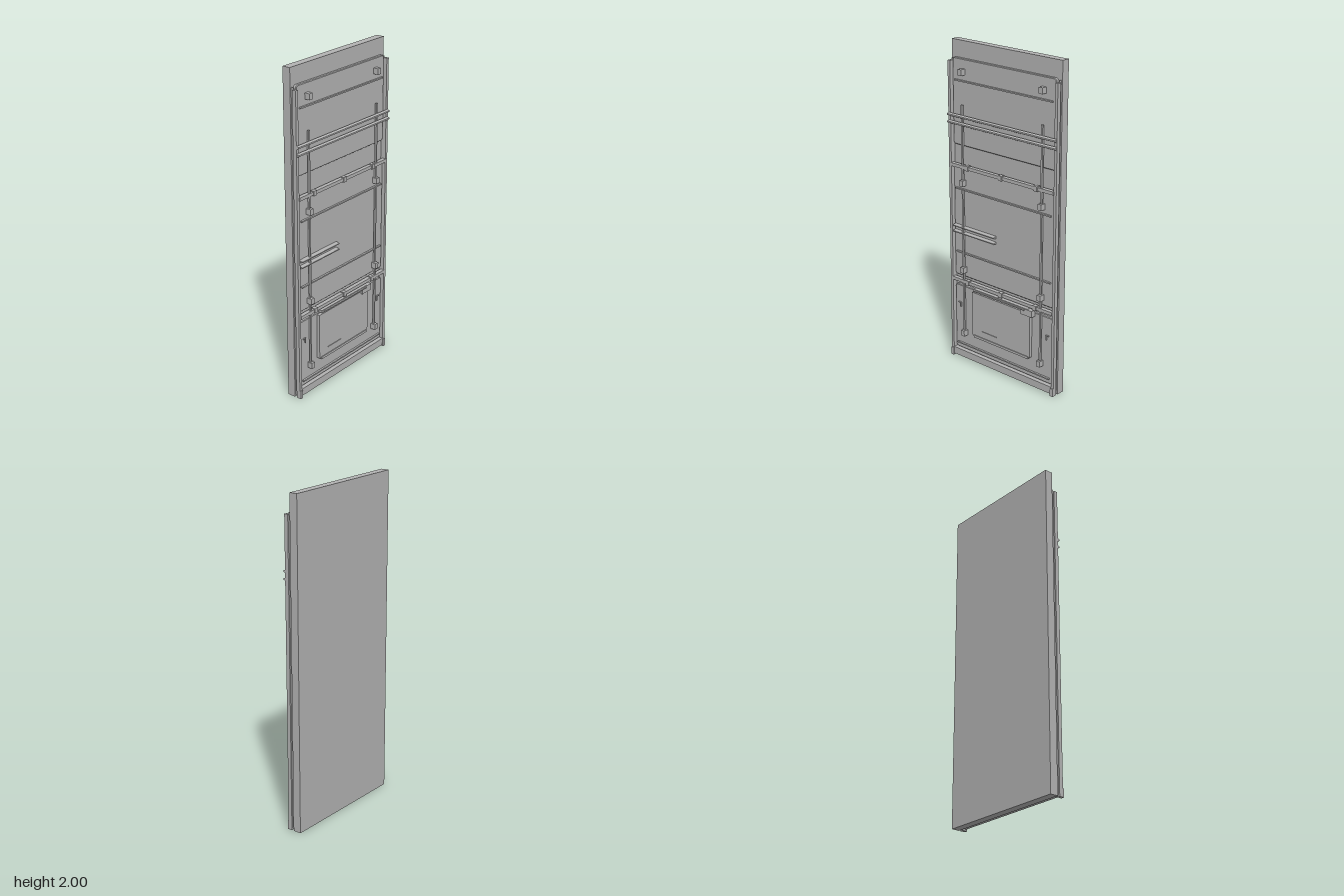
import * as THREE from 'three';

export function createModel() {
  const model = new THREE.Group();
  model.name = 'doorPanel';
  const grey = new THREE.MeshStandardMaterial({ color: 0xb2b2b2 });
  grey.name = 'plain grey';

  const add = (name, geometry) => {
    const mesh = new THREE.Mesh(geometry, grey);
    mesh.name = name;
    model.add(mesh);
    return mesh;
  };
  // Box given by its limits on each axis
  const box = (name, x0, x1, y0, y1, z0, z1) =>
    add(name, new THREE.BoxGeometry(x1 - x0, y1 - y0, z1 - z0))
      .position.set((x0 + x1) / 2, (y0 + y1) / 2, (z0 + z1) / 2);

  // Rounded plate with a small chamfer round its front edge
  const plate = (name, w, y0, y1, z0, z1, r = 0.015) => {
    const b = 0.004, x = w - b, lo = y0 + b, hi = y1 - b;
    const s = new THREE.Shape();
    s.moveTo(-x + r, lo);
    s.lineTo(x - r, lo);
    s.quadraticCurveTo(x, lo, x, lo + r);
    s.lineTo(x, hi - r);
    s.quadraticCurveTo(x, hi, x - r, hi);
    s.lineTo(-x + r, hi);
    s.quadraticCurveTo(-x, hi, -x, hi - r);
    s.lineTo(-x, lo + r);
    s.quadraticCurveTo(-x, lo, -x + r, lo);
    add(name, new THREE.ExtrudeGeometry(s, {
      depth: z1 - z0 - 2 * b, bevelSize: b, bevelThickness: b, bevelSegments: 1, curveSegments: 4,
    })).position.z = z0 + b;
  };

  // Horizontal bar with a pointed front
  const ridgeBar = (name, x0, x1, y, h, z0, z1) => {
    const s = new THREE.Shape();
    s.moveTo(-z0, y - h / 2);
    s.lineTo(-z0, y + h / 2);
    s.lineTo(-z1, y + h / 5);
    s.lineTo(-z1, y - h / 5);
    const g = new THREE.ExtrudeGeometry(s, { depth: x1 - x0, bevelEnabled: false });
    g.rotateY(Math.PI / 2);
    add(name, g).position.x = x0;
  };

  // Backing slab and raised panels
  box('backSlab', -0.418, 0.418, 0, 2, -0.055, -0.005);
  plate('upperPanel', 0.395, 1.38, 1.9, -0.006, 0.016);
  plate('middlePanel', 0.395, 0.55, 1.25, -0.006, 0.016);
  plate('lowerPanel', 0.395, 0.06, 0.485, -0.006, 0.016);

  // Side uprights, vertical rods and their brackets
  for (const s of [-1, 1]) {
    const side = s > 0 ? 'left' : 'right';
    const span = (name, a, b, ...rest) =>
      box(side + name, Math.min(s * a, s * b), Math.max(s * a, s * b), ...rest);
    span('Upright', 0.399, 0.418, 0.01, 1.88, 0.009, 0.033);
    span('UprightWeb', 0.405, 0.409, 0.01, 1.89, -0.006, 0.01);
    span('Foot', 0.397, 0.418, 0, 0.05, 0.009, 0.04);
    for (const [y0, y1] of [[1.17, 1.63], [0.62, 1.11], [0.18, 0.585]])
      span('Rod', 0.303, 0.315, y0, y1, 0.023, 0.034);
    for (const y of [1.825, 1.155, 0.6, 0.18])
      span('Bracket', 0.295, 0.322, y - 0.018, y + 0.018, 0.016, 0.048);
    span('Clip', 0.345, 0.365, 0.365, 0.371, 0.016, 0.024);
    span('Clip', 0.345, 0.351, 0.34, 0.37, 0.016, 0.024);
  }

  // Thin rails lying on the panels
  for (const y of [1.77, 1.11, 0.705, 0.095])
    box('thinRail', -0.373, 0.373, y - 0.004, y + 0.004, 0.016, 0.028);

  // Cross beams with clips
  for (const y of [1.255, 0.525]) {
    box('crossBeam', -0.4, 0.4, y - 0.01, y + 0.01, 0.012, 0.038);
    for (const x of [-0.27, 0, 0.27])
      box('beamClip', x - 0.013, x + 0.013, y - 0.015, y + 0.015, 0.016, 0.043);
  }

  // Long twin bars and short twin bars
  for (const y of [1.56, 1.515])
    ridgeBar('longBar', -0.415, 0.415, y, 0.021, 0.033, 0.047);
  for (const y of [0.872, 0.836])
    ridgeBar('shortBar', -0.388, -0.053, y, 0.015, 0.016, 0.041);

  // Lower compartment with lips, latch and slot line
  box('compartment', -0.235, 0.232, 0.19, 0.475, 0.014, 0.036);
  box('compartmentTopLip', -0.22, 0.22, 0.487, 0.503, 0.016, 0.043);
  box('compartmentTopEdge', -0.2, 0.2, 0.491, 0.498, 0.043, 0.053);
  box('compartmentBottomLip', -0.22, 0.22, 0.18, 0.195, 0.016, 0.041);
  box('latch', 0.165, 0.255, 0.46, 0.5, 0.016, 0.046);
  box('slotLine', -0.155, -0.035, 0.232, 0.238, 0.034, 0.04);

  // Sill across the bottom
  box('sill', -0.4, 0.4, 0.01, 0.055, -0.006, 0.033);
  return model;
}
